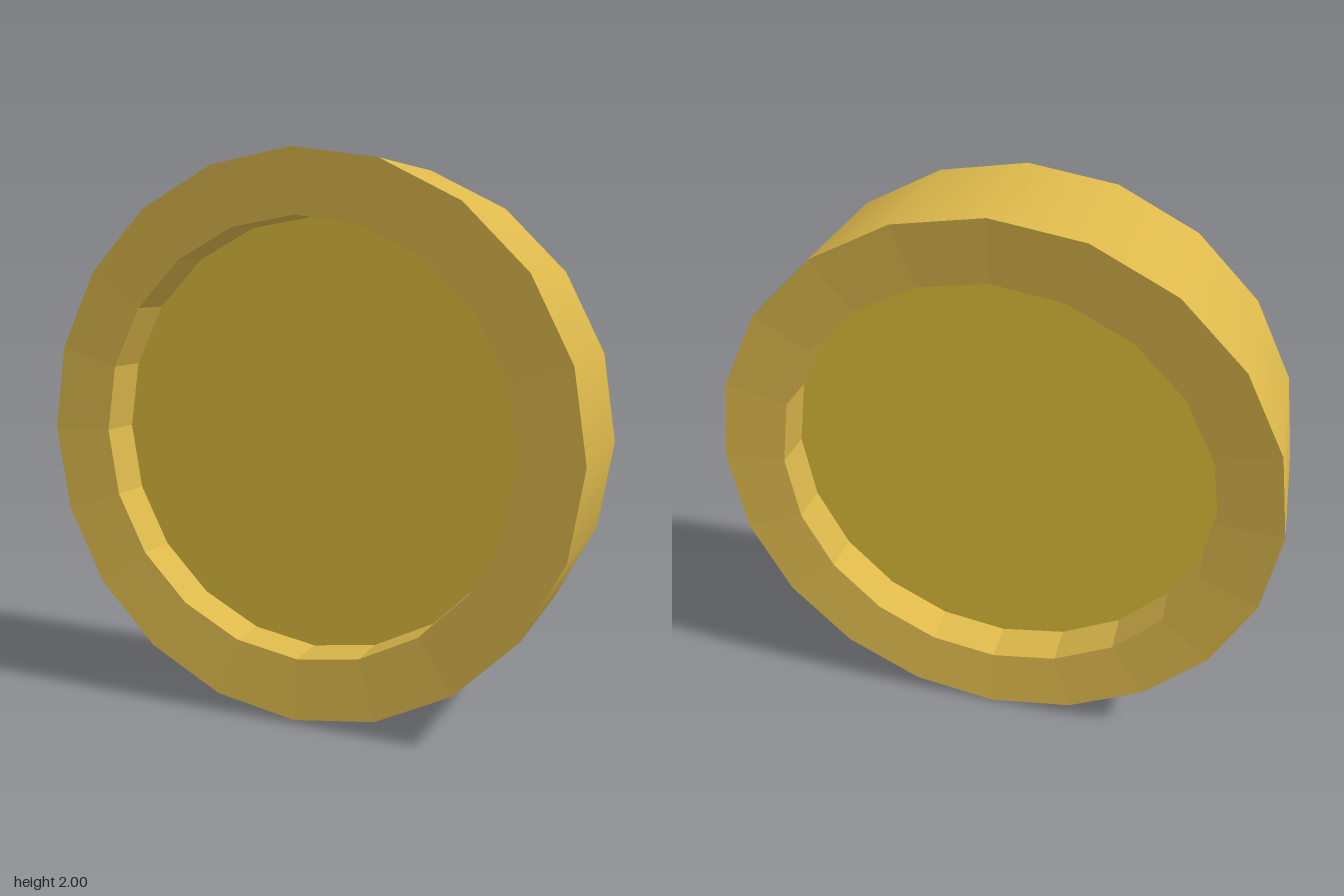
import * as THREE from 'three';

const SIDES = 20;
const R = 1, INNER = 0.78;               // outer radius, recess radius
const HALF = 0.265, LIP = 0.241, FLOOR = 0.087; // distances from the middle plane

export function createModel() {
  const coin = new THREE.Group();
  coin.name = 'coin';
  const edgeMat = new THREE.MeshStandardMaterial({ color: 0xdcb84b });
  const rimMat = new THREE.MeshStandardMaterial({ color: 0xdcb84b, flatShading: true });
  const floorMat = new THREE.MeshStandardMaterial({ color: 0xdcbc3a });

  const add = (parent, name, geometry, material) => {
    const mesh = new THREE.Mesh(geometry, material);
    mesh.name = name;
    parent.add(mesh);
    return mesh;
  };

  // Smooth outer band, axis turned to z
  const band = new THREE.CylinderGeometry(R, R, HALF * 2, SIDES, 1, true).rotateX(Math.PI / 2);
  add(coin, 'outerEdge', band, edgeMat);

  // Gently dished rim and the straight wall of the recess
  const profile = [[R, HALF], [INNER, LIP], [INNER, FLOOR]].map(([x, y]) => new THREE.Vector2(x, y));
  const rim = new THREE.LatheGeometry(profile, SIDES).rotateX(Math.PI / 2);
  const floor = new THREE.CircleGeometry(INNER, SIDES).translate(0, 0, FLOOR);

  // The same recessed face on both sides
  for (const [name, turn] of [['frontFace', 0], ['backFace', Math.PI]]) {
    const face = new THREE.Group();
    face.name = name;
    add(face, 'rim', rim, rimMat);
    add(face, 'recessFloor', floor, floorMat);
    face.rotation.y = turn;
    coin.add(face);
  }

  coin.position.y = R;
  const model = new THREE.Group();
  model.add(coin);
  return model;
}
